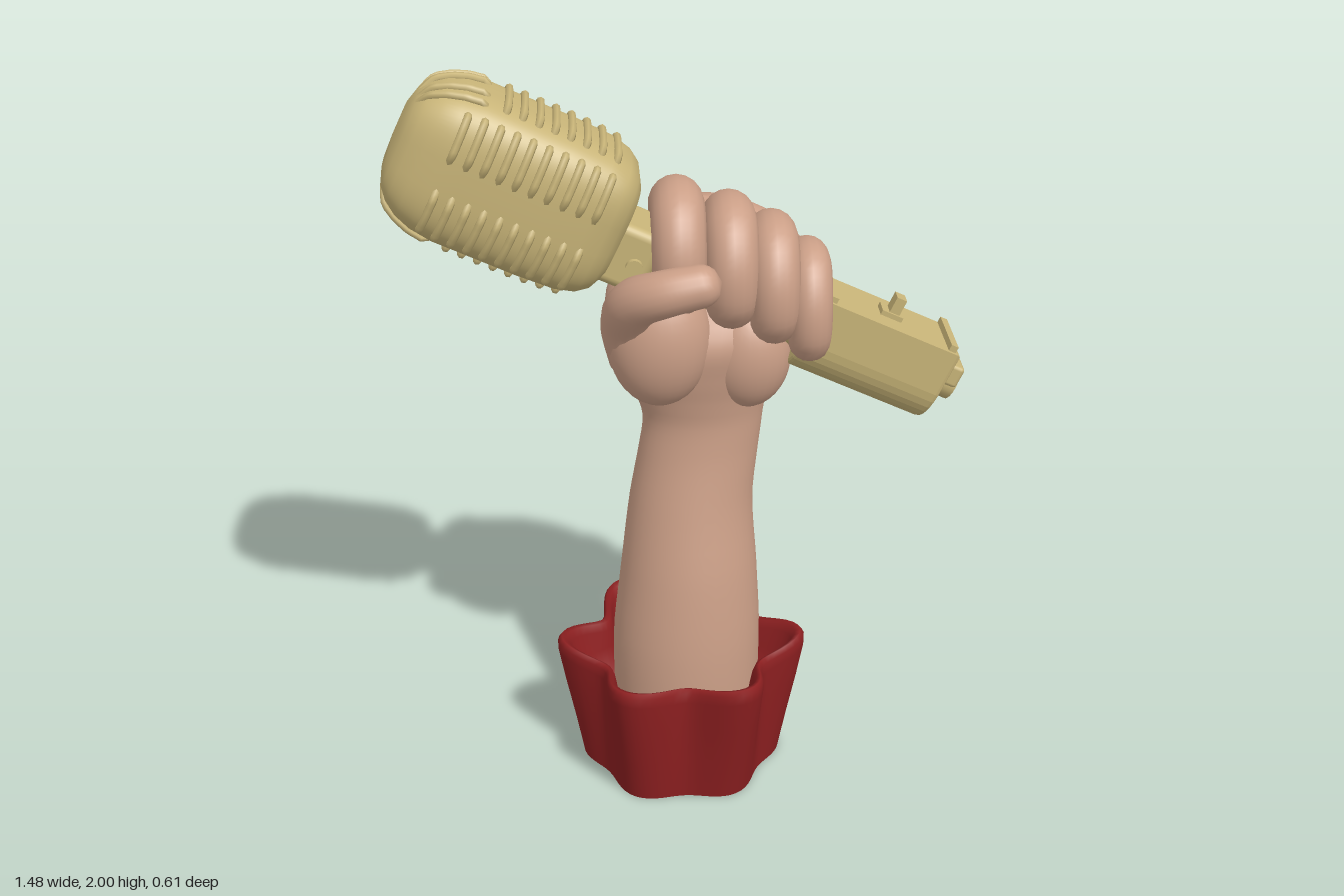
import * as THREE from 'three';
import { mergeGeometries, mergeVertices } from 'three/addons/utils/BufferGeometryUtils.js';
import { RoundedBoxGeometry } from 'three/addons/geometries/RoundedBoxGeometry.js';

const material = (name, color) => Object.assign(new THREE.MeshStandardMaterial({ color }), { name });

function add(parent, name, geometry, mat, x = 0, y = 0, z = 0) {
  const mesh = new THREE.Mesh(geometry, mat);
  mesh.name = name;
  mesh.position.set(x, y, z);
  parent.add(mesh);
  return mesh;
}

// Closed surface through rings; point(row, angle) returns a Vector3
function loft(rows, seg, point) {
  const pos = [], index = [];
  rows.forEach((row, i) => {
    for (let j = 0; j < seg; j++) {
      pos.push(...point(row, (j / seg) * Math.PI * 2).toArray());
      if (i === rows.length - 1) continue;
      const k = (j + 1) % seg, a = i * seg + j, b = i * seg + k;
      index.push(a, a + seg, b, b, a + seg, b + seg);
    }
  });
  const g = new THREE.BufferGeometry();
  g.setAttribute('position', new THREE.Float32BufferAttribute(pos, 3));
  g.setIndex(index);
  g.computeVertexNormals();
  return g;
}

// Piecewise linear lookup in [key, value] pairs
function lookup(table, k) {
  let i = 1;
  while (i < table.length - 1 && table[i][0] < k) i++;
  const [a, b] = [table[i - 1], table[i]];
  return THREE.MathUtils.mapLinear(THREE.MathUtils.clamp(k, a[0], b[0]), a[0], b[0], a[1], b[1]);
}

// Round-ended limb along a curve, tapering from r0 to r1
function limb(points, r0, r1) {
  const curve = new THREE.CatmullRomCurve3(points.map(p => new THREE.Vector3(...p)));
  const seg = 44, ring = 18, len = curve.getLength();
  const g = new THREE.TubeGeometry(curve, seg, 1, ring);
  const pos = g.attributes.position, v = new THREE.Vector3();
  for (let i = 0; i <= seg; i++) {
    const t = i / seg, c = curve.getPointAt(t);
    const r = r0 + (r1 - r0) * t;
    const gap = Math.min(1, (Math.min(t, 1 - t) * len) / r);
    const scale = r * Math.sqrt(1 - (1 - gap) ** 2);
    for (let j = 0; j <= ring; j++) {
      const k = i * (ring + 1) + j;
      v.fromBufferAttribute(pos, k).sub(c).multiplyScalar(scale).add(c);
      pos.setXYZ(k, v.x, v.y, v.z);
    }
  }
  g.deleteAttribute('normal');
  g.deleteAttribute('uv');
  const welded = mergeVertices(g, 1e-5);
  welded.computeVertexNormals();
  return welded;
}

// Point on the microphone head: u along its axis, t around it
const HEAD = [[-0.31, 0], [-0.305, 0.42], [-0.292, 0.62], [-0.27, 0.76], [-0.235, 0.88], [-0.19, 0.96],
  [-0.13, 1], [0.1, 1], [0.2, 0.98], [0.25, 0.92], [0.28, 0.82], [0.3, 0.65], [0.308, 0.4], [0.31, 0]];
function headPoint(u, t, lift = 0) {
  const s = lookup(HEAD, u), p = 2 / 3.3;
  const pow = c => Math.sign(c) * Math.abs(c) ** p;
  return new THREE.Vector3(u, (0.2 * s + lift) * pow(Math.cos(t)), -(0.165 * s + lift) * pow(Math.sin(t)));
}

// Raised bar on the head from (u0, t0) to (u1, t1), its ends sunk in
function grilleBar(u0, t0, u1, t1) {
  const pts = [];
  for (let i = 0; i <= 8; i++) {
    const k = i / 8;
    pts.push(headPoint(u0 + (u1 - u0) * k, t0 + (t1 - t0) * k, i % 8 ? 0.003 : -0.014));
  }
  return new THREE.TubeGeometry(new THREE.CatmullRomCurve3(pts), 14, 0.0105, 7);
}

function buildMicrophone(gold) {
  const mic = new THREE.Group();
  mic.name = 'microphone';
  mic.position.set(-0.43, 1.73, 0.01);
  mic.rotation.z = -0.436;

  add(mic, 'microphoneHead', loft(HEAD, 72, ([u], t) => headPoint(u, t)), gold);

  // Grille bars in two rows on front and back, and across top and underside
  const bars = [];
  for (let i = 0; i < 10; i++) {
    const u = -0.17 + i * 0.042;
    for (const side of [-1, 1]) {
      bars.push(grilleBar(u, side * 0.72, u, side * 1.52));
      bars.push(grilleBar(u, Math.PI - side * 0.72, u, Math.PI - side * 1.52));
    }
    if (i > 1) for (const c of [0, Math.PI]) bars.push(grilleBar(u, c - 0.45, u, c + 0.45));
  }
  // Lengthwise bars over the domed end
  for (const c of [0, Math.PI])
    for (const t of [-0.4, -0.12, 0.12, 0.4]) bars.push(grilleBar(-0.285, c + t, -0.13, c + t));
  add(mic, 'grilleBars', mergeGeometries(bars), gold);

  // Neck and handle
  add(mic, 'neck', new RoundedBoxGeometry(0.14, 0.17, 0.19, 3, 0.025), gold, 0.34, -0.04, 0);
  const along = (r, l) => new THREE.CylinderGeometry(r, r, l, 24).rotateZ(Math.PI / 2);
  add(mic, 'neckBolt', along(0.022, 0.2).rotateY(Math.PI / 2), gold, 0.36, -0.05, 0.01);
  add(mic, 'handle', along(0.078, 0.55), gold, 0.62, -0.04, 0);

  // Base with flat top and rounded underside
  const s = new THREE.Shape();
  s.moveTo(-0.088, 0.055);
  s.lineTo(-0.088, -0.06);
  s.bezierCurveTo(-0.08, -0.185, 0.08, -0.185, 0.088, -0.06);
  s.lineTo(0.088, 0.055);
  s.closePath();
  const base = new THREE.ExtrudeGeometry(s, { depth: 0.375, bevelThickness: 0.01, bevelSize: 0.008, bevelSegments: 2, curveSegments: 16 });
  add(mic, 'base', base.rotateY(Math.PI / 2), gold, 0.85, 0, 0.005);
  add(mic, 'baseLip', new THREE.BoxGeometry(0.02, 0.03, 0.18), gold, 1.21, 0.065, 0);
  add(mic, 'baseCollar', new THREE.BoxGeometry(0.02, 0.025, 0.18), gold, 0.865, 0.065, 0);
  add(mic, 'switchPlate', new THREE.BoxGeometry(0.06, 0.02, 0.055), gold, 1.04, 0.066, 0.005);
  add(mic, 'switch', new THREE.BoxGeometry(0.028, 0.06, 0.04), gold, 1.045, 0.09, 0.005);
  add(mic, 'endPlate', new RoundedBoxGeometry(0.04, 0.06, 0.165, 2, 0.01), gold, 1.25, 0, 0.005);
  add(mic, 'endKnob', along(0.05, 0.05), gold, 1.25, -0.035, 0.02);
  return mic;
}

function buildArm(skin) {
  const arm = new THREE.Group();
  arm.name = 'arm';
  // Forearm and palm sections: y, centre x, centre z, half width, half depth
  const keys = [
    [0.1, 0.015, -0.015, 0.2, 0.19], [0.36, 0.015, -0.015, 0.204, 0.19], [0.6, 0.022, -0.025, 0.187, 0.175],
    [0.8, 0.028, -0.04, 0.168, 0.15], [0.95, 0.047, -0.04, 0.161, 0.123], [1.05, 0.058, -0.035, 0.16, 0.11],
    [1.13, 0.052, -0.035, 0.178, 0.12], [1.2, 0.047, -0.04, 0.21, 0.14], [1.3, 0.052, -0.045, 0.245, 0.155],
    [1.4, 0.066, -0.075, 0.258, 0.135], [1.5, 0.095, -0.095, 0.235, 0.11], [1.58, 0.085, -0.105, 0.17, 0.085],
    [1.63, 0.06, -0.105, 0.09, 0.05], [1.64, 0.06, -0.105, 0, 0]];
  const curve = (a, b, c) => new THREE.CatmullRomCurve3(keys.map(k => new THREE.Vector3(k[a], k[b] ?? 0, k[c] ?? 0)));
  const centre = curve(1, 0, 2), size = curve(3, 9, 4), rows = [];
  for (let i = 0; i <= 52; i++) rows.push([centre.getPoint(i / 52), size.getPoint(i / 52)]);
  add(arm, 'forearmAndPalm', loft(rows, 36, ([c, r], t) =>
    new THREE.Vector3(c.x + Math.max(0, r.x) * Math.cos(t), c.y, c.z + Math.max(0, r.z) * Math.sin(t))), skin);

  // Fleshy pads of the palm
  const pad = (name, x, y, z, sx, sy, sz) =>
    add(arm, name, new THREE.SphereGeometry(1, 28, 20).scale(sx, sy, sz), skin, x, y, z);
  pad('thumbPad', -0.06, 1.31, 0.06, 0.135, 0.18, 0.11);
  pad('heelPad', 0.17, 1.25, 0.02, 0.115, 0.15, 0.095);

  // Curled fingers: x, height, radius, depth scale
  const fingers = [['indexFinger', -0.012, 1.53, 0.073, 1], ['middleFinger', 0.122, 1.49, 0.071, 1],
    ['ringFinger', 0.232, 1.44, 0.067, 0.97], ['littleFinger', 0.325, 1.375, 0.058, 0.9]];
  const curl = [[-0.12, -0.17], [-0.125, 0.01], [-0.07, 0.105], [0.05, 0.12], [0.11, 0.04], [0.1, -0.06], [0.03, -0.08]];
  for (const [name, x, y, r, d] of fingers)
    add(arm, name, limb(curl.map(([z, h], i) => [x - (i ? 0 : 0.03), y + h, z * d]), r, r * 0.93), skin);

  add(arm, 'thumb', limb([[-0.1, 1.2, 0.02], [-0.14, 1.36, 0.07], [-0.125, 1.45, 0.145],
    [-0.055, 1.495, 0.195], [0.09, 1.525, 0.195]], 0.08, 0.053), skin);
  return arm;
}

export function createModel() {
  const model = new THREE.Group();
  model.name = 'raisedMicrophone';
  const skin = material('skin', 0xcb9f87);
  const gold = material('gold', 0xc8b478);
  const red = material('red', 0x8c1f20);

  // Ruffled cuff: y, mean radius, ruffle depth
  const cuff = [[0, 0, 0], [0, 0.26, 0.018], [0, 0.26, 0.018], [0.12, 0.275, 0.026], [0.24, 0.29, 0.036],
    [0.33, 0.301, 0.044], [0.358, 0.3, 0.045], [0.37, 0.29, 0.045], [0.364, 0.277, 0.043], [0.34, 0.267, 0.042],
    [0.28, 0.25, 0.034], [0.2, 0.22, 0.02], [0.17, 0.12, 0]];
  add(model, 'cuff', loft(cuff, 96, ([y, r, a], t) => {
    const wave = Math.cos(6 * t), radius = r + a * wave;
    return new THREE.Vector3(radius * Math.cos(t), y + (y > 0.3 ? 0.012 * wave : 0), radius * Math.sin(t));
  }), red);

  model.add(buildArm(skin), buildMicrophone(gold));
  return model;
}
